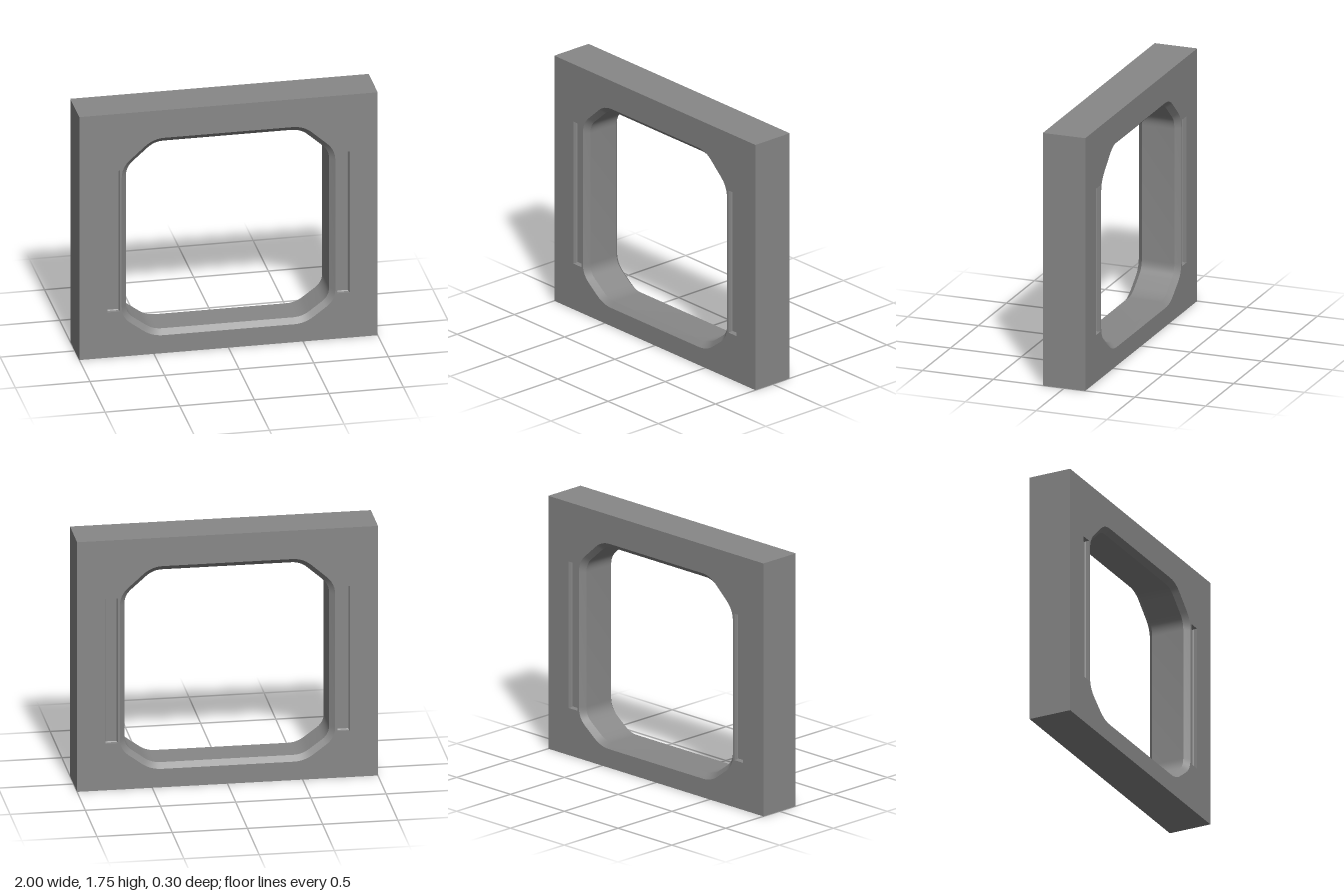
import * as THREE from 'three';
import { toCreasedNormals } from 'three/addons/utils/BufferGeometryUtils.js';

const W = 1, H = 1.75, D = 0.15;      // half width, height, half depth
const BEVEL = 0.035, GROOVE_DEPTH = 0.03;
const material = new THREE.MeshStandardMaterial({ color: 0x888888 });

const rect = (x0, y0, x1, y1) =>
  [[x0, y0], [x1, y0], [x1, y1], [x0, y1]].map(([x, y]) => new THREE.Vector2(x, y));

// Counter-clockwise octagon with rounded corners, grown outwards by e
function openingLoop(e) {
  const half = [
    [0.5 + 0.35 * e, 0.164 - e], [0.681 + e, 0.297 - 0.45 * e],
    [0.681 + e, 1.346 + 0.4 * e], [0.49 + 0.4 * e, 1.515 + e],
  ].map(([x, y]) => new THREE.Vector2(x, y));
  const corners = [...half, ...half.map(p => new THREE.Vector2(-p.x, p.y)).reverse()];
  const cut = 0.06 + 0.4 * e;
  return corners.flatMap((p, i) => {
    const towards = q => p.clone().add(q.clone().sub(p).setLength(cut));
    const before = towards(corners[(i + 7) % 8]), after = towards(corners[(i + 1) % 8]);
    return new THREE.QuadraticBezierCurve(before, p, after).getPoints(6);
  });
}

// Skin between successive closed loops; faces inwards when z decreases
function loft(sections) {
  const pos = [];
  for (let s = 0; s + 1 < sections.length; s++) {
    const [a, za] = sections[s], [b, zb] = sections[s + 1];
    for (let i = 0; i < a.length; i++) {
      const j = (i + 1) % a.length;
      pos.push(a[i].x, a[i].y, za, a[j].x, a[j].y, za, b[j].x, b[j].y, zb);
      pos.push(a[i].x, a[i].y, za, b[j].x, b[j].y, zb, b[i].x, b[i].y, zb);
    }
  }
  const geo = new THREE.BufferGeometry();
  geo.setAttribute('position', new THREE.Float32BufferAttribute(pos, 3));
  return toCreasedNormals(geo, 0.5);
}

function flat(loop, z, holes = []) {
  const shape = new THREE.Shape(loop);
  shape.holes = holes.map(h => new THREE.Path(h));
  return new THREE.ShapeGeometry(shape).translate(0, 0, z);
}

function add(parent, name, geometry) {
  const mesh = new THREE.Mesh(geometry, material);
  mesh.name = name;
  parent.add(mesh);
}

export function createModel() {
  const model = new THREE.Group();
  model.name = 'framePanel';

  const outline = rect(-W, 0, W, H);
  const inner = openingLoop(0), outer = openingLoop(BEVEL);
  const grooveLoop = (side, inset) => {
    const c = side * 0.77, hw = 0.04 - inset;
    return rect(c - hw, 0.326 + inset, c + hw, 1.34 - inset);
  };

  // Outer edges of the slab
  add(model, 'outerEdges', loft([[outline, -D], [outline, D]]));

  // Opening, bevelled at both faces
  add(model, 'opening', loft([
    [outer, D], [inner, D - BEVEL], [inner, -D + BEVEL], [outer, -D],
  ]));

  // Front and back faces, each with two shallow grooves
  for (const [name, turn] of [['front', 0], ['back', Math.PI]]) {
    const face = new THREE.Group();
    face.name = name + 'Face';
    face.rotation.y = turn;
    add(face, name + 'Plate', flat(outline, D, [outer, grooveLoop(-1, 0), grooveLoop(1, 0)]));
    for (const side of [-1, 1]) {
      const mouth = grooveLoop(side, 0), floor = grooveLoop(side, 0.006);
      // Straight walls with a small bevel above the floor
      add(face, name + 'GrooveWalls', loft([
        [mouth, D], [mouth, D - GROOVE_DEPTH + 0.006], [floor, D - GROOVE_DEPTH],
      ]));
      add(face, name + 'GrooveFloor', flat(floor, D - GROOVE_DEPTH));
    }
    model.add(face);
  }
  return model;
}
